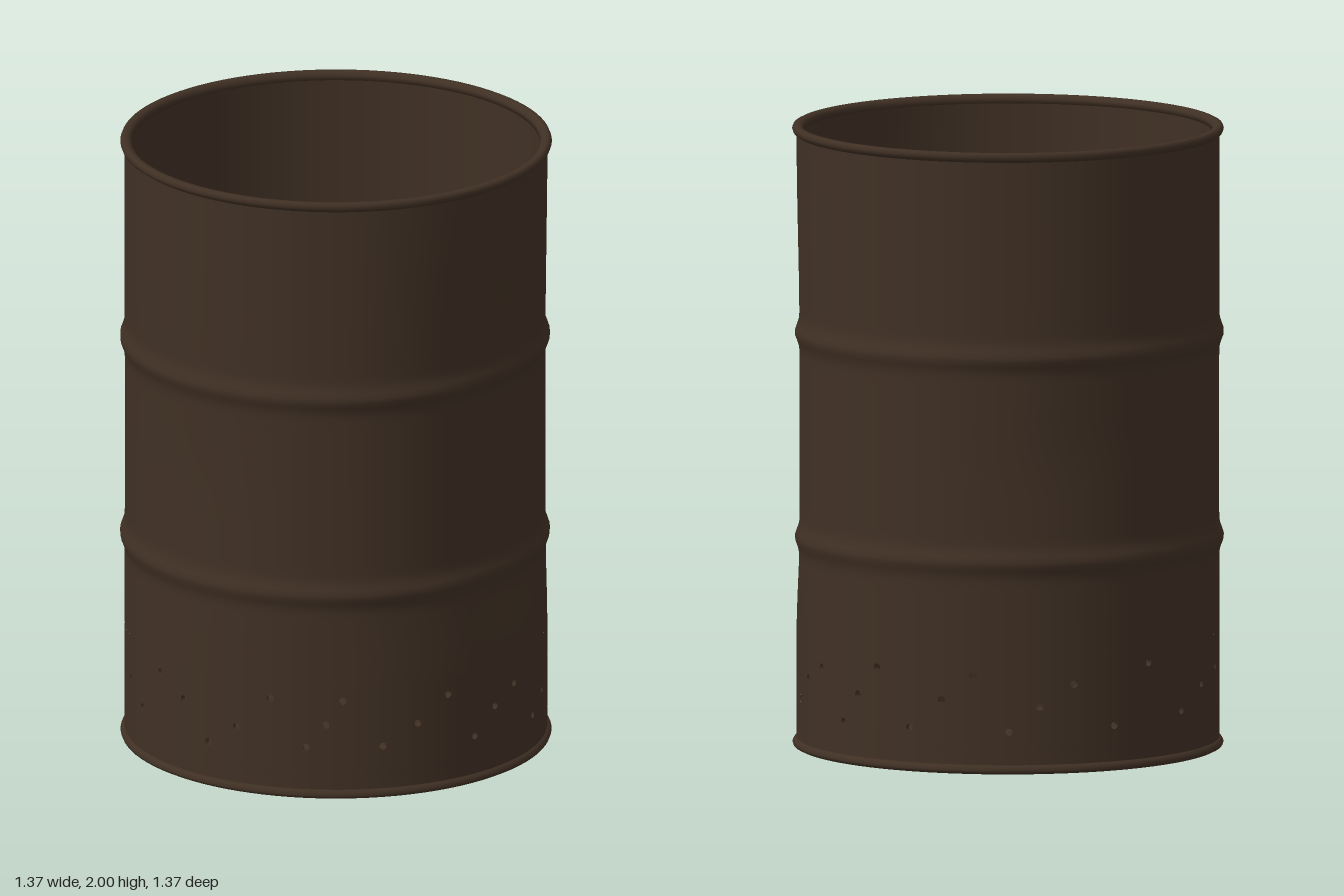
import * as THREE from 'three';
import { mergeVertices, mergeGeometries } from 'three/addons/utils/BufferGeometryUtils.js';

const RAD = Math.PI / 180;
const R = 0.672, WALL = 0.018, BAND_LOW = 0.1, BAND_HIGH = 0.38, HOLE = 0.012;

// Vent holes: [angle in degrees from the front towards +x, height]
const holes = [
  [-174, 0.24], [-162, 0.28], [-151, 0.15], [-141, 0.32], [-131, 0.24], [-121, 0.18], [-111, 0.33],
  [-101, 0.27], [-92, 0.15], [-83, 0.22], [-73, 0.33], [-63, 0.175], [-57.6, 0.25], [-53, 0.33],
  [-42, 0.175], [-32, 0.24], [-22.7, 0.32], [-13.7, 0.16], [-6, 0.24], [2.6, 0.29], [13.7, 0.145],
  [21.8, 0.2], [31.8, 0.28], [41.5, 0.175], [49, 0.25], [58, 0.3], [68.7, 0.14], [74.5, 0.235],
  [81.5, 0.33], [92, 0.145], [101.5, 0.24], [110.3, 0.32], [120, 0.14], [128.5, 0.22],
  [138, 0.29], [150, 0.15], [161.5, 0.34], [175, 0.17],
];

const bump = (t) => Math.exp(-t * t);
const turn = (a) => Math.atan2(Math.sin(a), Math.cos(a));

// Radial change from dents in the sheet metal
function dent(angle, y) {
  const rise = THREE.MathUtils.smoothstep(y, 0.35, 0.72);
  const fall = 1 - THREE.MathUtils.smoothstep(y, 1.25, 1.98);
  return -0.026 * bump(turn(angle) / 0.55) * rise * fall
    - 0.009 * bump(turn(angle - 135 * RAD) / 0.35) * bump((y - 1) / 0.22)
    - 0.007 * bump(turn(angle + 100 * RAD) / 0.4) * bump((y - 1) / 0.3)
    - 0.006 * bump(turn(angle - Math.PI) / 0.4) * bump((y - 1) / 0.3);
}

// Rolled hoops that stand out of the wall
const hoop = (y) => 0.015 * (bump((y - 0.68) / 0.03) + bump((y - 1.335) / 0.03));

// Closed revolved surface with dents and smooth normals
function revolve(points) {
  let g = new THREE.LatheGeometry(points.map(([r, y]) => new THREE.Vector2(r, y)), 96);
  g.deleteAttribute('uv');
  g.deleteAttribute('normal');
  const p = g.attributes.position;
  for (let i = 0; i < p.count; i++) {
    const x = p.getX(i), z = p.getZ(i), r = Math.hypot(x, z);
    if (r < 0.3) continue;
    const k = 1 + dent(Math.atan2(x, z), p.getY(i)) / r;
    p.setXYZ(i, x * k, p.getY(i), z * k);
  }
  g = mergeVertices(g, 1e-5);
  g.computeVertexNormals();
  return g;
}

// Bends a flat piece (x = arc length, z = 0) onto the wall
function bend(g, radius, sign) {
  const p = g.attributes.position, n = g.attributes.normal;
  for (let i = 0; i < p.count; i++) {
    const a = p.getX(i) / R, y = p.getY(i), r = radius + dent(a, y);
    p.setXYZ(i, Math.sin(a) * r, y, Math.cos(a) * r);
    n.setXYZ(i, Math.sin(a) * sign, 0, Math.cos(a) * sign);
  }
  if (sign < 0) {
    const idx = g.index;
    for (let i = 0; i < idx.count; i += 3) {
      const b = idx.getX(i + 1);
      idx.setX(i + 1, idx.getX(i + 2));
      idx.setX(i + 2, b);
    }
  }
  return g;
}

// Strip of wall between two angles, with an optional hole
function strip(a0, a1, hole) {
  const s = new THREE.Shape();
  s.moveTo(a0 * RAD * R, BAND_LOW).lineTo(a1 * RAD * R, BAND_LOW);
  s.lineTo(a1 * RAD * R, BAND_HIGH).lineTo(a0 * RAD * R, BAND_HIGH).closePath();
  if (hole) s.holes.push(new THREE.Path().absarc(hole[0] * RAD * R, hole[1], HOLE, 0, Math.PI * 2, true));
  return [bend(new THREE.ShapeGeometry(s, 5), R, 1), bend(new THREE.ShapeGeometry(s, 5), R - WALL, -1)];
}

export function createModel() {
  const drum = new THREE.Group();
  drum.name = 'openDrum';
  const rust = new THREE.MeshStandardMaterial({ color: 0x403024 });
  rust.name = 'dark rusty steel';
  const rustInside = rust.clone();
  rustInside.name = 'dark rusty steel sheet';
  rustInside.side = THREE.DoubleSide;
  const add = (name, geometry, material = rust) => {
    const m = new THREE.Mesh(geometry, material);
    m.name = name;
    drum.add(m);
    return m;
  };

  // Hooped upper wall, outside and inside
  const outer = [], inner = [];
  for (let i = 0; i <= 100; i++) {
    const y = BAND_HIGH + (1.985 - BAND_HIGH) * i / 100;
    outer.push([R + hoop(y), y]);
    inner.unshift([R - WALL + hoop(y), y]);
  }
  add('outerWall', revolve(outer));
  add('innerWall', revolve(inner));

  // Plain wall below the vent band
  add('lowerOuterWall', revolve([[R, 0.02], [R, BAND_LOW]]));
  add('lowerInnerWall', revolve([[R - WALL, BAND_LOW], [R - WALL, 0.03]]));

  // Band of wall pierced by the vent holes
  const pieces = [];
  holes.forEach((h, i) => {
    const next = i + 1 < holes.length ? holes[i + 1][0] : holes[0][0] + 360;
    pieces.push(...strip(h[0] - 2, h[0] + 2, h));
    const start = h[0] + 2, gap = next - 2 - start, n = Math.ceil(gap / 4);
    for (let k = 0; k < n; k++) pieces.push(...strip(start + gap * k / n, start + gap * (k + 1) / n));
  });
  add('ventBand', mergeGeometries(pieces));

  // Cut edges of the vent holes
  const edge = new THREE.CylinderGeometry(HOLE, HOLE, WALL, 10, 1, true);
  edge.rotateX(Math.PI / 2);
  for (const [deg, y] of holes) {
    const a = deg * RAD, r = R - WALL / 2;
    const m = add('ventEdge', edge, rustInside);
    m.position.set(Math.sin(a) * r, y, Math.cos(a) * r);
    m.rotation.y = a;
  }

  // Rolled rims at the top and bottom
  add('topRim', revolve([[0.65, 1.972], [0.672, 1.968], [0.682, 1.975], [0.686, 1.986], [0.682, 1.996],
    [0.674, 2], [0.66, 1.998], [0.65, 1.988], [0.65, 1.972]]));
  add('bottomRim', revolve([[0.65, 0.016], [0.656, 0.008], [0.672, 0.005], [0.682, 0.01], [0.685, 0.018],
    [0.68, 0.028], [0.67, 0.036], [0.65, 0.034], [0.65, 0.016]]));

  // Floor plate
  const floor = add('floor', new THREE.CylinderGeometry(0.66, 0.66, 0.014, 96));
  floor.position.y = 0.024;
  return drum;
}
